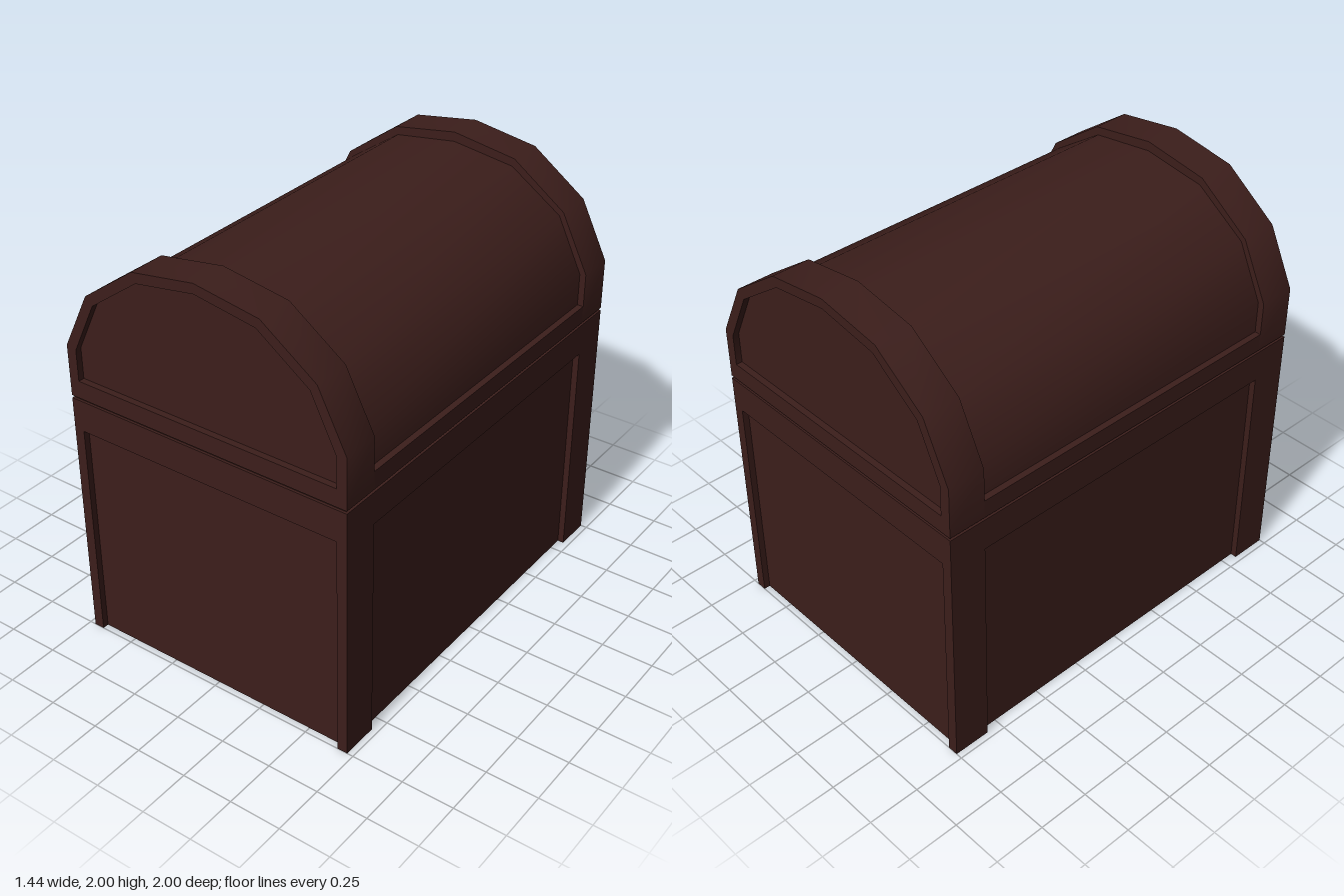
import * as THREE from 'three';
import { toCreasedNormals } from 'three/addons/utils/BufferGeometryUtils.js';

const material = new THREE.MeshStandardMaterial({ color: 0x3c1e1b });

// Half profiles of the arched lid, from the bottom corner up to the crown
const OUTER = [[0.72, 1.25], [0.72, 1.49], [0.585, 1.76], [0.32, 1.95], [0, 2]];
const BARREL = [[0.69, 1.23], [0.69, 1.485], [0.565, 1.74], [0.31, 1.912], [0, 1.955]];
const OPENING = [[0.67, 1.33], [0.67, 1.48], [0.55, 1.725], [0.3, 1.905], [0, 1.953]];

// Mirror a half profile into a closed outline
function outline(half) {
  const left = half.slice(0, -1).reverse().map(([x, y]) => [-x, y]);
  return [...half, ...left].map(([x, y]) => new THREE.Vector2(x, y));
}

function add(parent, name, geometry, x = 0, y = 0, z = 0) {
  const mesh = new THREE.Mesh(geometry, material);
  mesh.name = name;
  mesh.position.set(x, y, z);
  parent.add(mesh);
  return mesh;
}

// Box given by half width, bottom, top and half depth
function block(parent, name, hx, y0, y1, hz, x = 0, z = 0) {
  return add(parent, name, new THREE.BoxGeometry(hx * 2, y1 - y0, hz * 2), x, (y0 + y1) / 2, z);
}

// Extrude an arched profile along z, smooth over the arch and sharp at its ends
function arch(half, depth, hole) {
  const shape = new THREE.Shape(outline(half));
  if (hole) shape.holes.push(new THREE.Path(outline(hole)));
  const geometry = new THREE.ExtrudeGeometry(shape, { depth, bevelEnabled: false });
  geometry.translate(0, 0, -depth / 2);
  return toCreasedNormals(geometry, 0.6);
}

export function createModel() {
  const chest = new THREE.Group();
  chest.name = 'chest';

  // Lower box: recessed panels, top rail and four corner posts
  const base = new THREE.Group();
  base.name = 'base';
  chest.add(base);
  block(base, 'basePanels', 0.69, 0, 1.2, 0.97);
  block(base, 'baseTopRail', 0.72, 1.08, 1.232, 1);
  for (const sx of [-1, 1]) {
    for (const sz of [-1, 1]) {
      block(base, 'cornerPost', 0.025, 0, 1.08, 0.09, sx * 0.695, sz * 0.91);
    }
  }

  // Narrow groove between box and lid
  block(chest, 'seam', 0.708, 1.225, 1.255, 0.988);

  // Lid: recessed barrel, side rails and raised end bands
  const lid = new THREE.Group();
  lid.name = 'lid';
  chest.add(lid);
  add(lid, 'lidBarrel', arch(BARREL, 1.94));
  block(lid, 'lidSideRails', 0.72, 1.245, 1.33, 0.82);
  OUTER[0][1] = 1.245;
  for (const sz of [-1, 1]) {
    add(lid, 'lidEndBand', arch(OUTER, 0.18, OPENING), 0, 0, sz * 0.91);
  }

  return chest;
}
